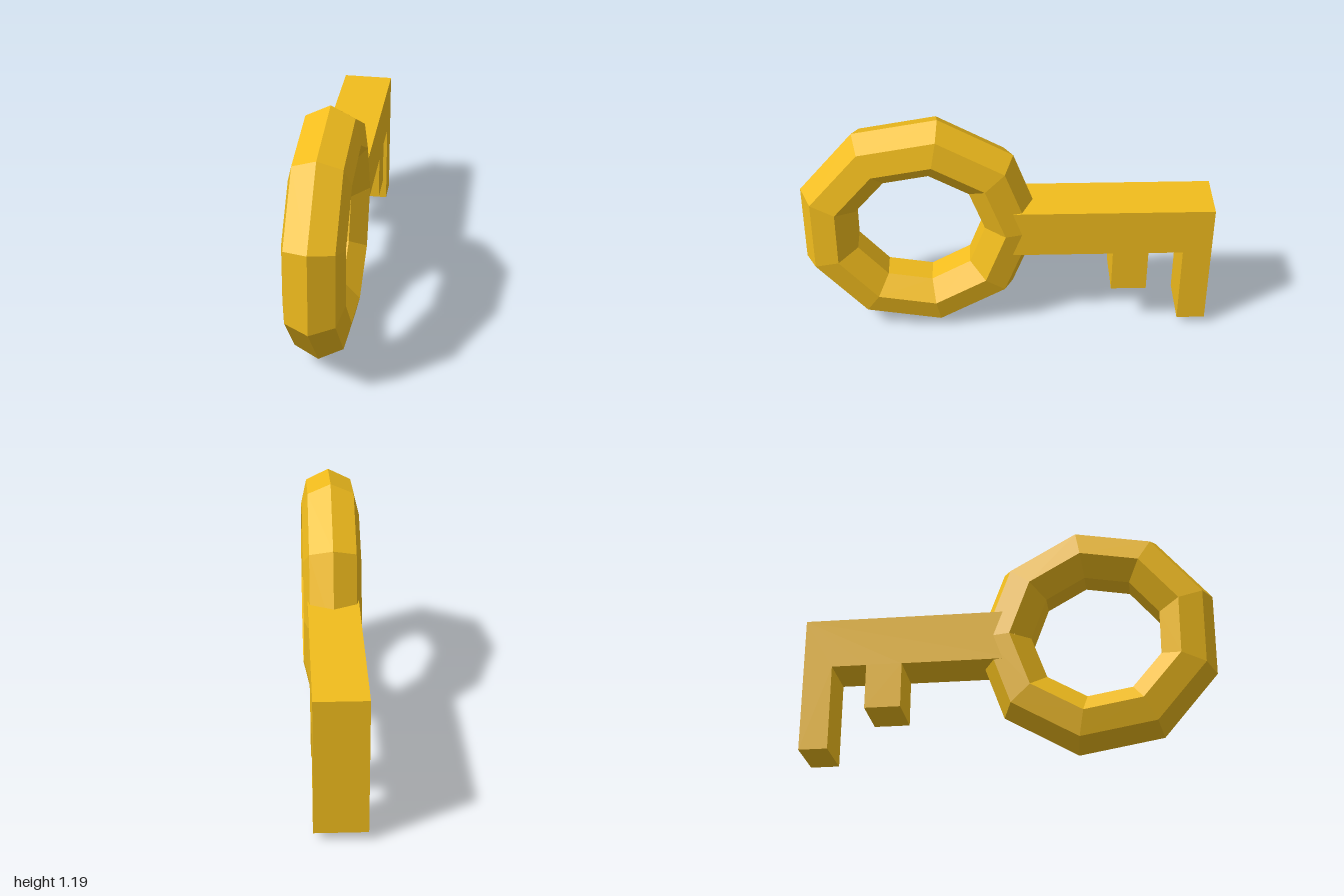
import * as THREE from 'three';

export function createModel() {
  const key = new THREE.Group();
  key.name = 'key';
  const gold = new THREE.MeshStandardMaterial({ color: 0xf2bd1d, flatShading: true });

  // Ring handle: nine-sided, with a seven-sided section and one corner towards the shaft
  const ringGeo = new THREE.TorusGeometry(0.455, 0.147, 7, 9);
  ringGeo.rotateY(Math.PI / 2);
  const ring = new THREE.Mesh(ringGeo, gold);
  ring.name = 'ringHandle';
  ring.position.set(0, 0.6, 0.434);
  key.add(ring);

  // Shaft and two teeth: one side outline, x of the shape running towards the back
  const outline = [
    [-0.038, 0.475], [0.515, 0.475], [0.515, 0.25], [0.69, 0.25], [0.69, 0.475],
    [0.86, 0.475], [0.86, 0.05], [1, 0.05], [1, 0.725], [-0.038, 0.725],
  ];
  const shape = new THREE.Shape(outline.map(([x, y]) => new THREE.Vector2(x, y)));
  const width = 0.25;
  const shaftGeo = new THREE.ExtrudeGeometry(shape, { depth: width, bevelEnabled: false });
  shaftGeo.translate(0, 0, -width / 2);
  shaftGeo.rotateY(Math.PI / 2);
  const shaft = new THREE.Mesh(shaftGeo, gold);
  shaft.name = 'shaftWithTeeth';
  key.add(shaft);

  return key;
}
